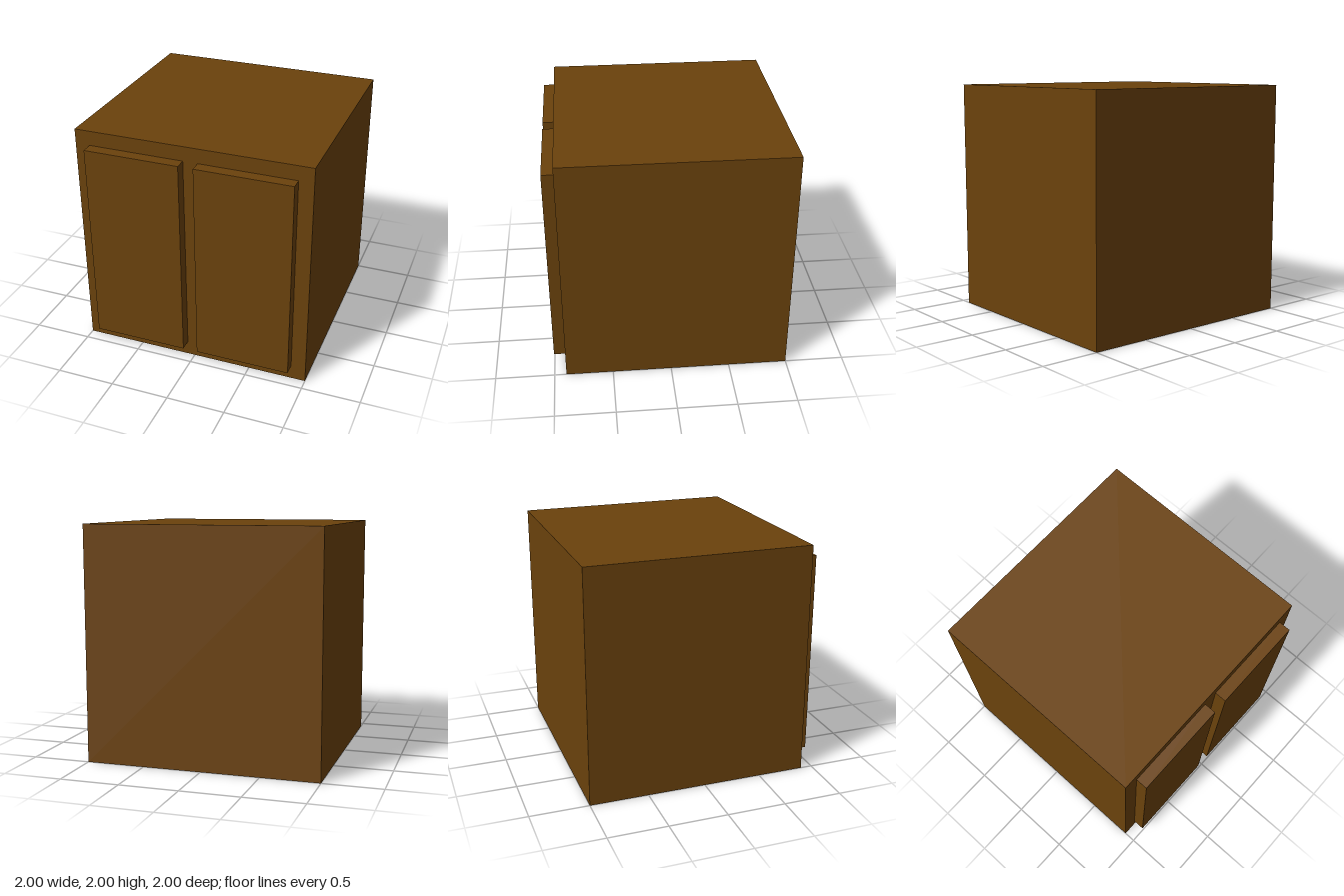
import * as THREE from 'three';

export function createModel() {
  const model = new THREE.Group();
  model.name = 'cabinet';
  const wood = new THREE.MeshStandardMaterial({ color: 0x6b420c, flatShading: true });

  function addBox(name, size, position) {
    const mesh = new THREE.Mesh(new THREE.BoxGeometry(...size), wood);
    mesh.name = name;
    mesh.position.set(...position);
    model.add(mesh);
  }

  // Solid cabinet body
  addBox('body', [2, 2, 1.9], [0, 1, -0.05]);

  // Pair of raised doors on the front
  for (const [name, side] of [['leftDoor', 1], ['rightDoor', -1]]) {
    addBox(name, [0.8125, 1.75, 0.1], [side * 0.46875, 1, 0.95]);
  }

  return model;
}
